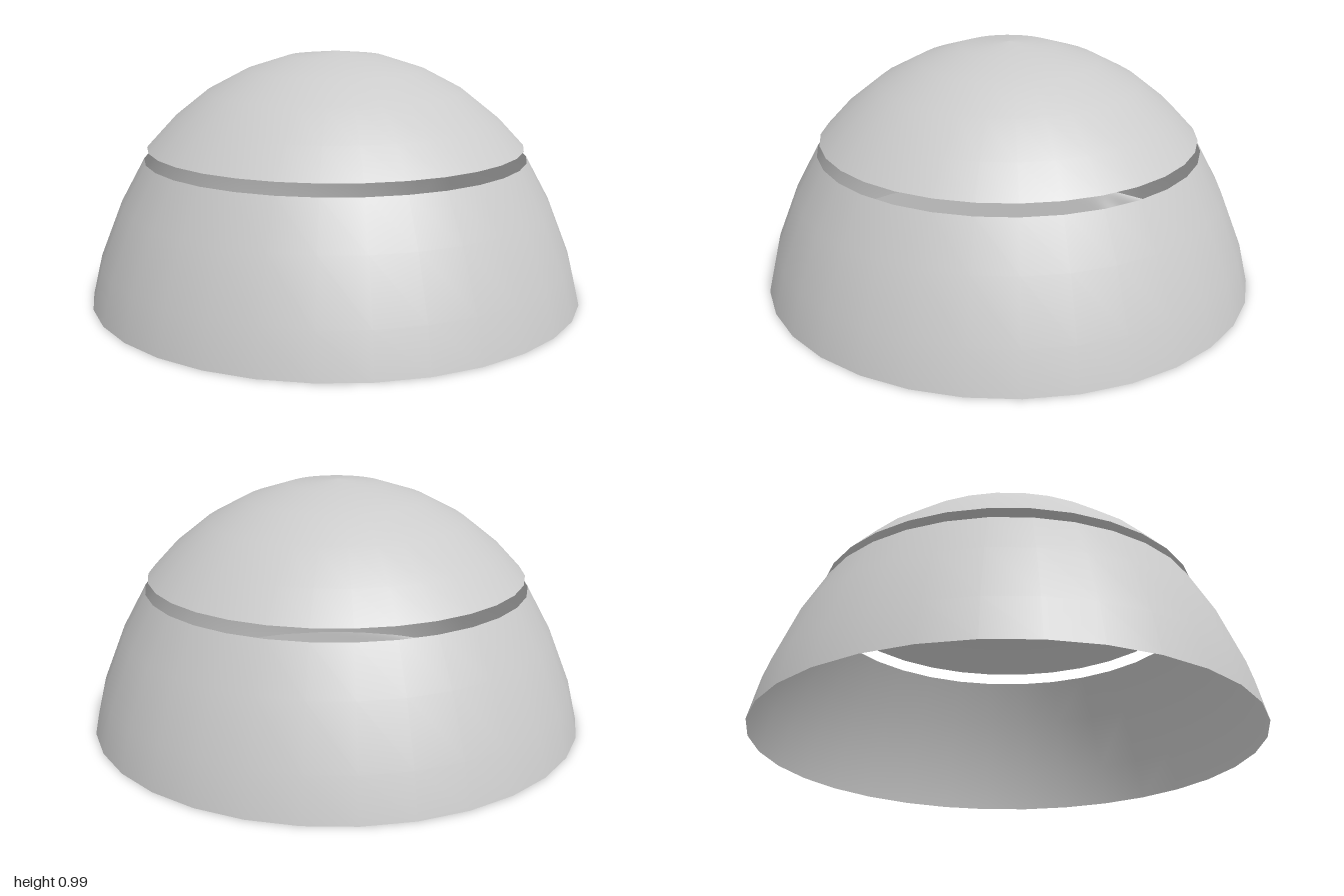
import * as THREE from 'three';

const SIDES = 32;

export function createModel() {
  const group = new THREE.Group();
  const material = new THREE.MeshStandardMaterial({ color: 0xcccccc, side: THREE.DoubleSide });

  // Turns a [radius, height] profile, listed from bottom to top, into an open shell
  function addShell(name, profile) {
    const points = profile.map(([r, y]) => new THREE.Vector2(r, y));
    const mesh = new THREE.Mesh(new THREE.LatheGeometry(points, SIDES), material);
    mesh.name = name;
    group.add(mesh);
  }

  // Lower band, open at both ends
  addShell('lowerShell', [[1, 0], [0.96, 0.165], [0.87, 0.39], [0.775, 0.563]]);

  // Cap floating above a narrow gap, hollow underneath
  addShell('upperDome', [
    [0.762, 0.608], [0.66, 0.717], [0.52, 0.828], [0.36, 0.912], [0.19, 0.966], [0, 0.985],
  ]);

  return group;
}
